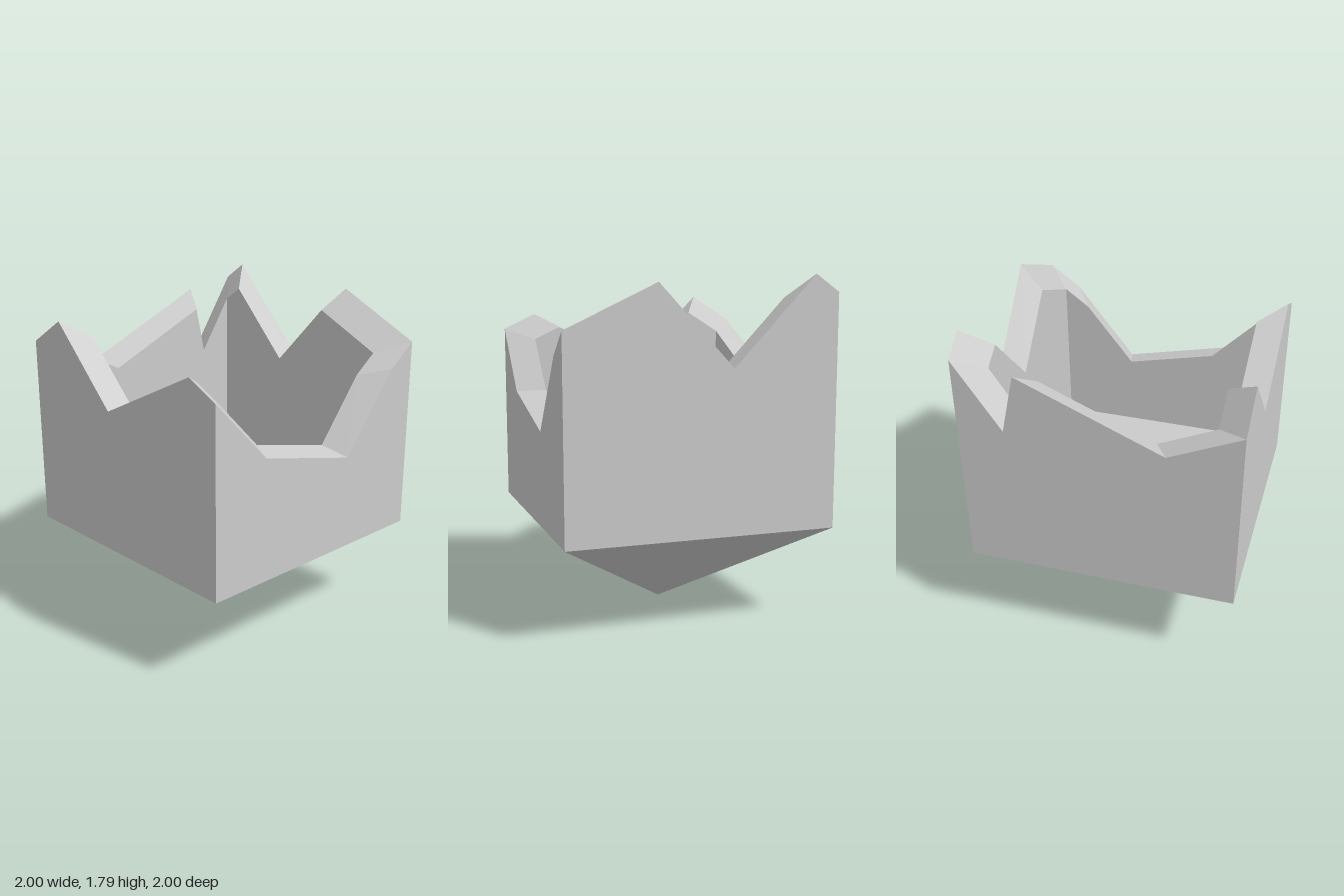
import * as THREE from 'three';

// Broken rim, counter-clockwise from the right corner: [x, y, z side]
const RIM = [
  // front right wall of the shell
  [-1, 1.52, 1], [-0.84, 1.66, 1], [-0.56, 1.265, 1], [-0.125, 1.565, 1],
  // front left wall
  [0, 1.48, 1], [0.23, 1.145, 1], [0.655, 1.0, 1], [0.885, 1.41, 1],
  // back left wall
  [1, 1.53, -1], [0.67, 1.75, -1], [0.395, 1.335, -1], [0.09, 1.79, -1],
  // back right wall
  [0, 1.7, -1], [-0.17, 1.34, -1], [-0.22, 1.66, -1], [-0.74, 1.345, -1],
];

// The cavity is the outer shell shrunk around its middle
const SCALE = 0.8;
const CENTRE_Y = 1.2;
const shrink = (p) => new THREE.Vector3(
  p.x * SCALE,
  CENTRE_Y + (p.y - CENTRE_Y) * SCALE,
  p.z * SCALE - 0.01,
);

// Flat-shaded band joining two closed rings of equal length
function band(name, lower, upper) {
  const points = [];
  lower.forEach((a, i) => {
    const j = (i + 1) % lower.length;
    points.push(a, lower[j], upper[j], a, upper[j], upper[i]);
  });
  const geometry = new THREE.BufferGeometry().setFromPoints(points);
  geometry.computeVertexNormals();
  const material = new THREE.MeshStandardMaterial({ color: 0xcccccc, flatShading: true });
  const mesh = new THREE.Mesh(geometry, material);
  mesh.name = name;
  return mesh;
}

export function createModel() {
  const group = new THREE.Group();
  group.name = 'brokenShell';

  // Outer rings: tip, shoulder and jagged rim
  const rim = RIM.map(([x, y, side]) => new THREE.Vector3(x, y, side * (1 - Math.abs(x))));
  const shoulder = rim.map((p) => new THREE.Vector3(p.x, 0.5, p.z));
  const tip = rim.map(() => new THREE.Vector3(0, 0, 0));

  // Matching inner rings
  const innerRim = rim.map(shrink);
  const innerShoulder = shoulder.map(shrink);
  const innerTip = tip.map(shrink);

  group.add(
    band('pointedBase', tip, shoulder),
    band('outerWall', shoulder, rim),
    band('brokenRim', rim, innerRim),
    band('innerWall', innerRim, innerShoulder),
    band('cavityFloor', innerShoulder, innerTip),
  );
  return group;
}
